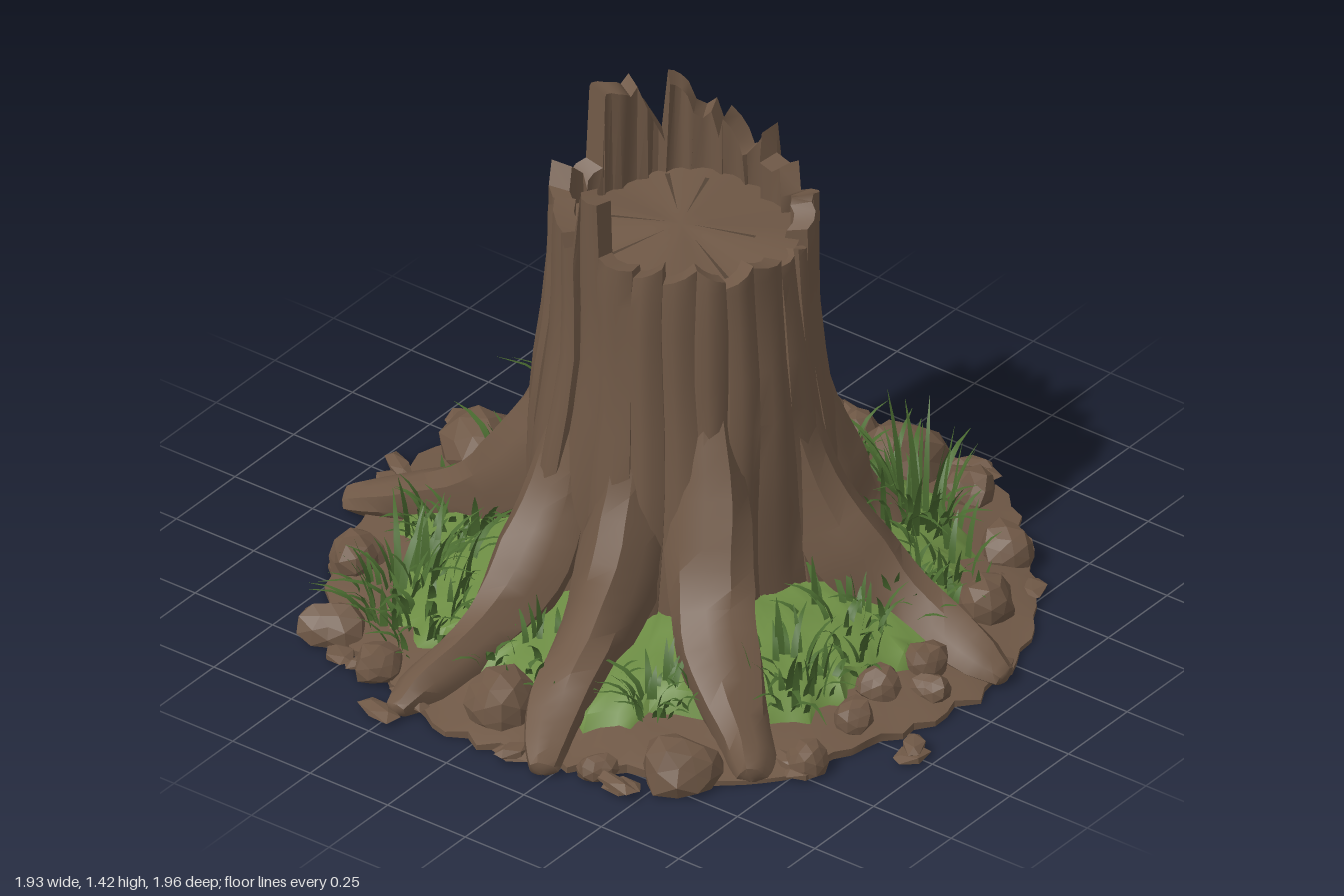
import * as THREE from 'three';
import { toCreasedNormals } from 'three/addons/utils/BufferGeometryUtils.js';

const bark = new THREE.MeshStandardMaterial({ color: 0x6f5846 });
bark.name = 'bark brown';
const soil = new THREE.MeshStandardMaterial({ color: 0x6f5846 });
soil.name = 'soil brown';
const stone = new THREE.MeshStandardMaterial({ color: 0x6e5745 });
stone.name = 'stone brown';
const crackDark = new THREE.MeshStandardMaterial({ color: 0x554436, side: THREE.DoubleSide });
crackDark.name = 'crack dark brown';
const mossGreen = new THREE.MeshStandardMaterial({ color: 0x6c8c43 });
mossGreen.name = 'moss green';
const bladeGreen = new THREE.MeshStandardMaterial({ color: 0x4a6b30, side: THREE.DoubleSide });
bladeGreen.name = 'blade green';

const rad = THREE.MathUtils.degToRad, lerp = THREE.MathUtils.lerp;
let seed = 7;
const rnd = () => (seed = (seed * 16807) % 2147483647) / 2147483647;
const spread = (s) => (rnd() - 0.5) * 2 * s;
const polar = (a, r, y) => [Math.sin(a) * r, y, Math.cos(a) * r];

// Piecewise linear lookup in [[x, y], ...]
function lookup(table, x) {
  if (x <= table[0][0]) return table[0][1];
  for (let i = 1; i < table.length; i++) {
    const [x0, y0] = table[i - 1], [x1, y1] = table[i];
    if (x <= x1) return lerp(y0, y1, (x - x0) / (x1 - x0));
  }
  return table[table.length - 1][1];
}

// Surface wrapped around in columns, stacked in rows
function wrapGrid(cols, rows, point, crease = 0.6) {
  const pos = [], index = [];
  for (let r = 0; r < rows; r++) for (let c = 0; c < cols; c++) pos.push(...point(c, r));
  for (let r = 0; r < rows - 1; r++) for (let c = 0; c < cols; c++) {
    const d = (c + 1) % cols, a = r * cols + c, b = r * cols + d;
    index.push(a, b, b + cols, a, b + cols, a + cols);
  }
  const g = new THREE.BufferGeometry();
  g.setAttribute('position', new THREE.Float32BufferAttribute(pos, 3));
  g.setIndex(index);
  return toCreasedNormals(g, crease);
}

// Main roots: [tip angle, base angle, length, thickness]
const ROOTS = [[12, 17, 0.94, 1], [57, 56, 0.68, 1.1], [102, 105, 0.95, 1], [152, 157, 0.86, 1.1],
  [190, 197, 0.96, 1], [257, 248, 0.94, 0.95], [284, 282, 0.94, 1], [317, 320, 0.92, 1.1]];

const groundHeight = (r) => lookup([[0.35, 0.16], [0.5, 0.11], [0.75, 0.05], [0.92, 0.012]], r);
const mossHeight = (r) => lookup([[0.35, 0.2], [0.5, 0.165], [0.64, 0.125], [0.74, 0.085], [0.8, 0.03]], r);

function trunkRadius(a, y) {
  let r = lookup([[0, 0.39], [0.3, 0.38], [0.6, 0.365], [0.9, 0.34], [1.2, 0.328]], y);
  for (const [, deg] of ROOTS) {
    const d = Math.atan2(Math.sin(a - rad(deg)), Math.cos(a - rad(deg)));
    r += 0.1 * Math.exp(-((d / 0.22) ** 2)) * Math.exp(-y / 0.4);
  }
  return r + 0.009 * Math.sin(a * 5 + y * 2.5);
}

// Bark plates around the trunk: top heights at each plate's two edges
const TOPS = [[1.12, 1.13], [1.13, 1.11], [1.16, 1.2], [1.22, 1.17], [1.17, 1.23], [1.31, 1.22],
  [1.22, 1.31], [1.25, 1.31], [1.36, 1.4], [1.22, 1.31], [1.34, 1.4], [1.41, 1.42],
  [1.21, 1.17], [1.22, 1.19], [1.17, 1.2], [1.23, 1.18], [1.16, 1.19], [1.36, 1.35],
  [1.2, 1.19], [1.17, 1.2], [1.15, 1.19], [1.19, 1.15], [1.13, 1.18], [1.17, 1.14]];

function trunkGeometry() {
  const n = TOPS.length, per = 4, step = (2 * Math.PI) / n;
  const offsets = TOPS.map(() => spread(0.011)), phase = TOPS.map(() => rnd() * 6);
  const shift = TOPS.map((_, i) => ([11, 12, 17, 18].includes(i) ? 0 : spread(0.32)));
  const levels = [0, 0.1, 0.2, 0.3, 0.42, 0.55, 0.7, 0.85, 1.0, 1.08];
  return wrapGrid(n * per, levels.length + 4, (c, r) => {
    const i = Math.floor(c / per), f = (c % per) / (per - 1), next = (i + 1) % n;
    const peak = i % 3 === 1 && i > 2 && i < 17 && c % per === 1 ? 0.045 : 0;
    const top = lerp(TOPS[i][0], TOPS[i][1], f) + peak;
    const k = r - levels.length;
    const y = k < 0 ? levels[r] : [lerp(1.08, top, 0.5), top, top - 0.01, 1.05][k];
    // uneven plate widths whose edges wander up the trunk
    const wander = (j) => shift[j] + 0.12 * Math.sin(y * 5 + phase[j]) * Math.min(1, Math.max(0, 1.2 - y) * 3);
    const left = i - 0.5 + wander(i), right = i + 0.5 + wander(next);
    const taper = 1 - Math.max(0, y - 1.15) * 1.3;
    const a = rad(5) + step * ((left + right) / 2 + (f - 0.5) * (right - left) * taper);
    const ridge = (f > 0.1 && f < 0.9 ? 0.007 : -0.006) + offsets[i] + 0.006 * Math.sin(y * 8 + phase[i]);
    return polar(a, trunkRadius(a, y) + ridge - (k >= 2 ? 0.055 : 0), y);
  }, 0.7);
}

// Sagging root swept outwards, from its base angle to its tip angle
function rootGeometry([tip, base, len, thick]) {
  const path = [[0.22, 0.9, 0.05], [0.28, 0.66, 0.085], [0.35, 0.45, 0.1], [0.45, 0.28, 0.107],
    [0.58, 0.16, 0.095], [0.74, 0.08, 0.077], [0.88, 0.035, 0.06], [0.95, 0.015, 0.035], [0.96, 0.01, 0.002]];
  const s = (len - 0.3) / 0.66;
  const pts = path.map(([r, y]) => {
    const rr = r < 0.3 ? r : 0.3 + (r - 0.3) * s;
    const swing = 0.03 * Math.sin((r - 0.35) * 9 + tip);
    return new THREE.Vector3(...polar(rad(lerp(base, tip, Math.max(0, (r - 0.35) / 0.6))) + swing, rr, y));
  });
  const curve = new THREE.CatmullRomCurve3(pts), rows = 25, up = new THREE.Vector3(0, 1, 0);
  return wrapGrid(10, rows, (c, r) => {
    const t = r / (rows - 1), p = curve.getPoint(t), tan = curve.getTangent(t);
    const side = new THREE.Vector3().crossVectors(up, tan).normalize();
    const nor = new THREE.Vector3().crossVectors(tan, side);
    const k = t * (path.length - 1), j = Math.min(Math.floor(k), path.length - 2);
    const phi = (c / 10) * 2 * Math.PI;
    const w = lerp(path[j][2], path[j + 1][2], k - j) * thick
      * (1 + 0.12 * Math.sin(phi * 3 + t * 7 + tip) + 0.06 * Math.sin(t * 21 + tip));
    p.addScaledVector(side, Math.cos(phi) * w).addScaledVector(nor, Math.sin(phi) * w);
    return [p.x, Math.max(0.004, p.y), p.z];
  }, 0.7);
}

// Faceted lump with a flat underside at ground level
function lump(x, y, z, sx, sy, sz, detail, turn = rnd() * 6) {
  const g = new THREE.IcosahedronGeometry(1, detail), p = g.attributes.position;
  const ph = rnd() * 9, v = new THREE.Vector3();
  for (let i = 0; i < p.count; i++) {
    v.fromBufferAttribute(p, i);
    v.multiplyScalar(1 + 0.13 * Math.sin(v.x * 3 + ph) + 0.1 * Math.sin(v.z * 4 + v.y * 3 + ph));
    v.set(v.x * sx, v.y * sy, v.z * sz).applyAxisAngle(new THREE.Vector3(0, 1, 0), turn);
    p.setXYZ(i, v.x + x, Math.max(0.002, v.y + y), v.z + z);
  }
  g.computeVertexNormals();
  return g;
}

// Curved tapering blades growing from around one spot; tall ones stand straighter
function tuftGeometry(x, z, count, radius, height) {
  const pos = [], index = [], maxLean = Math.min(1.1, 0.26 / height);
  for (let b = 0; b < count; b++) {
    const az = rnd() * 2 * Math.PI, off = Math.sqrt(rnd()) * radius;
    const bx = x + Math.sin(az) * off, bz = z + Math.cos(az) * off;
    const dir = az + spread(0.7), lean = 0.15 + rnd() * maxLean, len = height * (0.45 + rnd() * 0.65);
    const y0 = mossHeight(Math.hypot(bx, bz)) - 0.01, w = 0.007 + rnd() * 0.006, start = pos.length / 3;
    for (let k = 0; k < 5; k++) {
      const t = k / 4, out = lean * len * t ** 1.6 * 0.7, half = w * (1 - t ** 2) + 0.0005;
      const px = bx + Math.sin(dir) * out, pz = bz + Math.cos(dir) * out;
      const y = y0 + len * (t - 0.55 * lean * t * t);
      pos.push(px - Math.cos(dir) * half, y, pz + Math.sin(dir) * half);
      pos.push(px + Math.cos(dir) * half, y, pz - Math.sin(dir) * half);
      if (k) { const e = start + k * 2; index.push(e - 2, e - 1, e + 1, e - 2, e + 1, e); }
    }
  }
  const g = new THREE.BufferGeometry();
  g.setAttribute('position', new THREE.Float32BufferAttribute(pos, 3));
  g.setIndex(index);
  g.computeVertexNormals();
  return g;
}

export function createModel() {
  seed = 7;
  const model = new THREE.Group();
  model.name = 'treeStump';
  const add = (name, geo, mat) => {
    const m = new THREE.Mesh(geo, mat);
    m.name = name;
    model.add(m);
  };

  // Soil mound with ragged rim and flat underside
  const rim = Array.from({ length: 110 }, (_, i) =>
    0.905 + 0.025 * Math.sin((i / 110) * 2 * Math.PI) + 0.012 * Math.sin(i * 0.4) + spread(0.022));
  const rings = [0, 1, 1, 0.93, 0.82, 0.65, 0.5, 0.35];
  add('soilMound', wrapGrid(110, rings.length, (c, r) => {
    const a = (c / 110) * 2 * Math.PI, d = rings[r] * rim[c];
    const y = r < 2 ? 0 : groundHeight(d) + (r > 2 ? 0.008 * Math.sin(c * 0.7 + r * 2) : 0);
    return polar(a, d, y);
  }), soil);

  // Moss carpet around the trunk
  const edge = Array.from({ length: 120 }, (_, i) => 0.735 + 0.035 * Math.sin(i * 0.42) + spread(0.035));
  const mossRings = [1, 0.96, 0.88, 0.78, 0.66, 0.55, 0.42];
  add('mossCarpet', wrapGrid(120, mossRings.length, (c, r) => {
    const d = edge[c] * mossRings[r];
    const y = r ? mossHeight(d) + 0.012 * Math.sin(c * 0.6 + r * 2.1) : groundHeight(d);
    return polar((c / 120) * 2 * Math.PI, d, y);
  }, 1), mossGreen);

  // Trunk shell and roots
  add('trunkShell', trunkGeometry(), bark);
  ROOTS.forEach((root) => add('root', rootGeometry(root), bark));

  // Broken wood surface inside the rim, with a few radial cracks
  const discY = (a, r) => 1.115 + 0.02 * (1 - r / 0.31) + 0.012 * Math.sin(a * 4) * (r / 0.31);
  add('cutSurface', wrapGrid(48, 5, (c, r) => {
    const a = (c / 48) * 2 * Math.PI, d = 0.31 * (1 - r / 4);
    return polar(a, d, discY(a, d));
  }), bark);
  [20, 110, 135, 205, 250, 335].forEach((deg, i) => {
    const a = rad(deg), r0 = 0.03 + 0.02 * (i % 3), r1 = 0.2 + 0.03 * (i % 3), p = [];
    for (const [da, r] of [[0, r0], [0.025, r1], [-0.025, r1]]) p.push(...polar(a + da, r, discY(a, r) + 0.005));
    const g = new THREE.BufferGeometry();
    g.setAttribute('position', new THREE.Float32BufferAttribute(p, 3));
    g.computeVertexNormals();
    add('woodCrack', g, crackDark);
  });

  // Stones: x, z, size
  [[-0.7, -0.6, 0.085], [-0.42, -0.72, 0.08], [0.14, -0.73, 0.125], [0.64, -0.65, 0.085], [0.77, -0.43, 0.075],
    [-0.77, 0, 0.1], [-0.7, 0.54, 0.105], [-0.47, 0.76, 0.06], [0.37, 0.7, 0.085], [0.62, 0.58, 0.08],
    [0.79, 0.13, 0.12], [0.78, 0.34, 0.075], [0.05, 0.75, 0.065], [-0.12, 0.72, 0.06], [-0.78, -0.38, 0.07],
    [0.84, -0.07, 0.07], [-0.02, 0.82, 0.05], [-0.26, 0.75, 0.06], [0.4, -0.72, 0.07], [-0.82, 0.35, 0.05],
  ].forEach(([x, z, s]) => add('stone',
    lump(x, groundHeight(Math.hypot(x, z)) + s * 0.2, z, s, s * 0.85, s * 0.9, 1), stone));

  // Flat bark chips lying along the rim
  [[-0.93, -0.28], [-0.84, 0.44], [0.31, -0.95], [-0.04, -0.92], [-0.27, 0.95], [0.93, 0.27], [0.92, -0.2],
    [-0.78, -0.52], [0.2, 0.88], [0.56, 0.72], [-0.5, 0.77], [-0.88, 0.12]].forEach(([x, z]) => {
    const a = Math.atan2(x, z);
    add('barkChip', lump(x * 0.99, 0.014, z * 0.99, 0.065, 0.014, 0.04, 0, a), soil);
    add('barkChip', lump(x * 0.94 + spread(0.06), 0.025, z * 0.94 + spread(0.06), 0.07, 0.018, 0.03, 0), soil);
  });

  // Grass tufts: x, z, blade count, spread, height
  [[0.45, -0.5, 65, 0.17, 0.36], [0.48, -0.55, 16, 0.1, 0.5], [0.5, 0.36, 50, 0.14, 0.28], [0.5, 0.4, 10, 0.07, 0.4],
    [-0.5, -0.48, 50, 0.16, 0.24], [-0.54, -0.5, 10, 0.08, 0.33], [-0.25, -0.55, 32, 0.12, 0.18],
    [0.15, 0.58, 25, 0.12, 0.16], [-0.28, 0.56, 35, 0.12, 0.19], [-0.58, 0.36, 22, 0.08, 0.19],
    [0.06, -0.58, 18, 0.1, 0.26], [0.62, 0.02, 24, 0.12, 0.17], [-0.6, 0.02, 16, 0.1, 0.15],
    [0.38, 0.58, 25, 0.12, 0.18], [0.64, -0.34, 30, 0.1, 0.26], [-0.05, 0.57, 22, 0.12, 0.17],
    [-0.62, -0.36, 20, 0.1, 0.18]].forEach((t) => add('grassTuft', tuftGeometry(...t), bladeGreen));

  // Short grass along the edge of the moss
  for (let i = 0; i < 36; i++) {
    const [x, , z] = polar((i / 36) * 2 * Math.PI, 0.64 + spread(0.08), 0);
    add('shortGrass', tuftGeometry(x, z, 6, 0.05, 0.1), bladeGreen);
  }

  return model;
}
